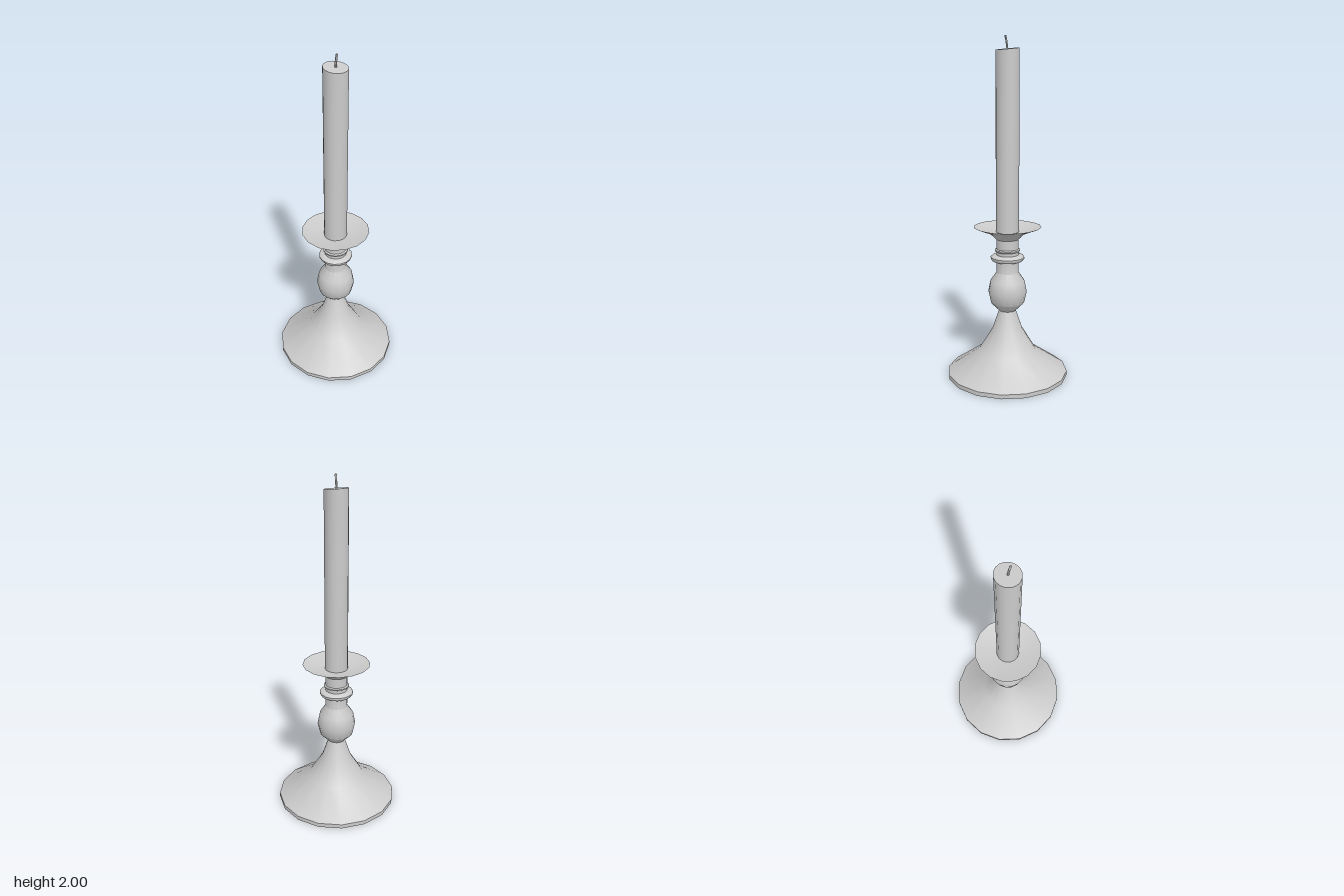
import * as THREE from 'three';
import { toCreasedNormals } from 'three/addons/utils/BufferGeometryUtils.js';

const SIDES = 16;

export function createModel() {
  const group = new THREE.Group();
  const material = new THREE.MeshStandardMaterial({ color: 0xcccccc });

  const add = (name, geometry, crease = 0.65) => {
    const mesh = new THREE.Mesh(toCreasedNormals(geometry, crease), material);
    mesh.name = name;
    group.add(mesh);
    return mesh;
  };
  const lathe = (name, profile) => add(name, new THREE.LatheGeometry(
    profile.map(([r, y]) => new THREE.Vector2(r, y)), SIDES));

  // Flared foot
  lathe('foot', [
    [0, 0], [0.36, 0], [0.36, 0.025], [0.17, 0.155], [0.09, 0.285], [0.05, 0.402],
  ]);

  // Bulb, collar rings and neck
  lathe('stem', [
    [0.05, 0.4], [0.1, 0.45], [0.115, 0.517], [0.102, 0.583], [0.066, 0.635],
    [0.066, 0.706], [0.09, 0.706], [0.1, 0.72], [0.1, 0.728], [0.09, 0.738], [0.066, 0.742],
    [0.066, 0.76], [0.075, 0.765], [0.075, 0.773], [0.066, 0.778], [0.066, 0.835],
  ]);

  // Shallow drip dish
  lathe('dripDish', [
    [0.066, 0.835], [0.105, 0.872], [0.2, 0.91], [0.08, 0.88], [0, 0.88],
  ]);

  // Candle, its top cut at a slight slant
  const candle = new THREE.CylinderGeometry(0.068, 0.068, 1.065, SIDES);
  candle.translate(0, 0.8601 + 1.065 / 2, 0);
  const pos = candle.attributes.position;
  for (let i = 0; i < pos.count; i++) {
    if (pos.getY(i) > 1.5) pos.setY(i, 1.925 - 0.09 * pos.getX(i) - 0.08 * pos.getZ(i));
  }
  add('candle', candle);

  // Bent wick
  const wickPath = new THREE.CatmullRomCurve3([
    new THREE.Vector3(0, 1.915, 0),
    new THREE.Vector3(0.002, 1.955, 0.004),
    new THREE.Vector3(0.008, 1.998, 0.012),
  ]);
  add('wick', new THREE.TubeGeometry(wickPath, 3, 0.006, 6), 1.2);
  const tip = add('wickTip', new THREE.CircleGeometry(0.006, 6));
  tip.position.copy(wickPath.getPoint(1));
  tip.lookAt(tip.position.clone().add(wickPath.getTangent(1)));

  return group;
}
